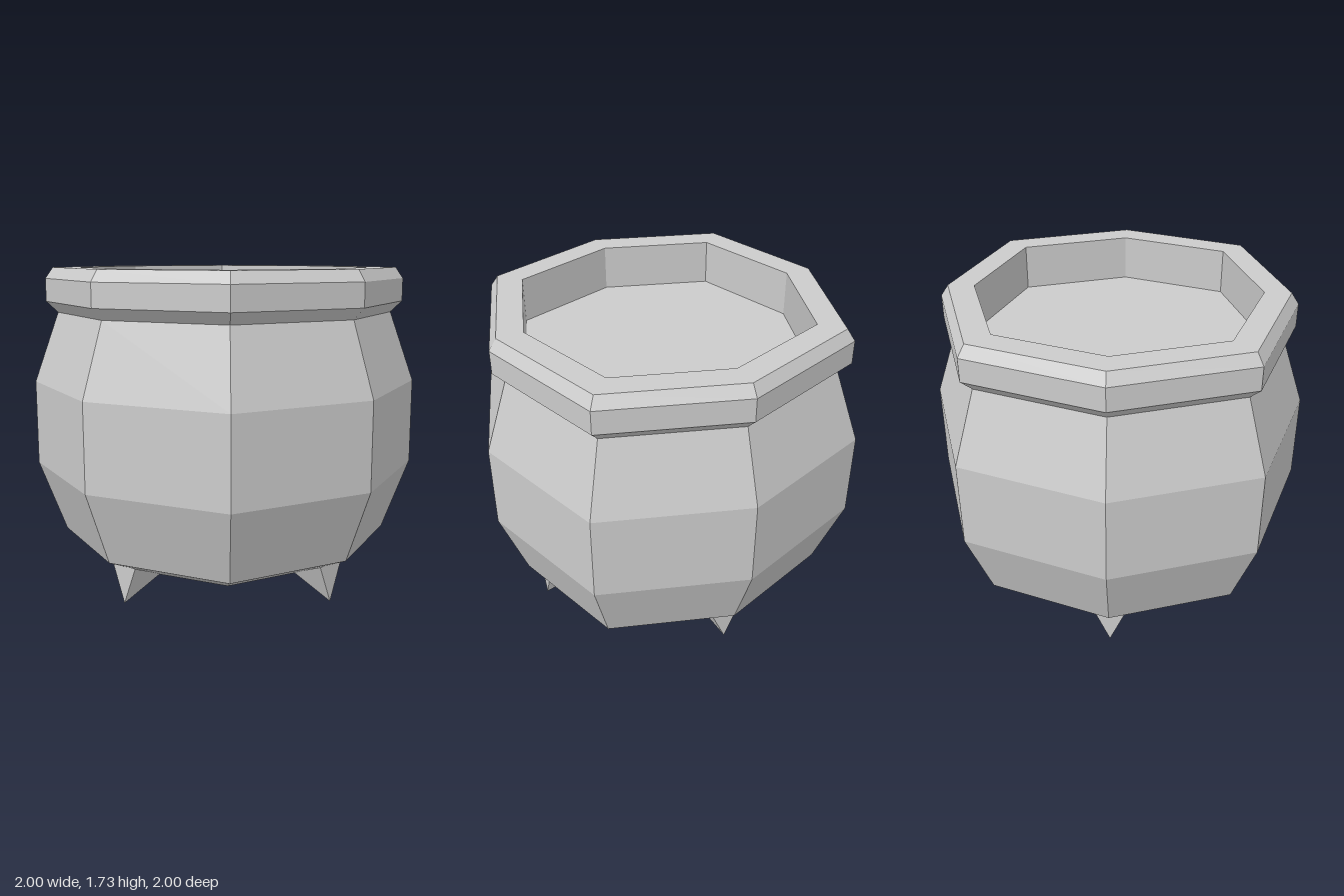
import * as THREE from 'three';
import { ConvexGeometry } from 'three/addons/geometries/ConvexGeometry.js';

const material = new THREE.MeshStandardMaterial({ color: 0xcccccc, flatShading: true });

// Eight-sided lathe whose diagonal corners sit at 0.75 of the radius in x and z
function octagonLathe(profile) {
  const geometry = new THREE.LatheGeometry(profile.map(([r, y]) => new THREE.Vector2(r, y)), 8);
  const pos = geometry.attributes.position;
  for (let i = 0; i < pos.count; i++) {
    const x = pos.getX(i), z = pos.getZ(i);
    const diagonal = Math.min(Math.abs(x), Math.abs(z)) > 1e-4;
    const s = diagonal ? 0.75 * Math.SQRT2 : 1;
    pos.setX(i, x * s);
    pos.setZ(i, z * s);
  }
  geometry.computeVertexNormals();
  return geometry;
}

function addMesh(parent, name, geometry) {
  const mesh = new THREE.Mesh(geometry, material);
  mesh.name = name;
  parent.add(mesh);
  return mesh;
}

export function createModel() {
  const cauldron = new THREE.Group();
  cauldron.name = 'cauldron';

  // Bulging bowl with a shallow pointed underside
  addMesh(cauldron, 'bowl', octagonLathe([
    [0, 0.02], [0.56, 0.11], [0.86, 0.245], [1, 0.635], [1, 1.1], [0.87, 1.485],
  ]));

  // Flared, bevelled rim with the inner wall
  addMesh(cauldron, 'rim', octagonLathe([
    [0.87, 1.485], [0.93, 1.545], [0.93, 1.67], [0.89, 1.73], [0.75, 1.73], [0.75, 1.485],
  ]));

  // Flat surface of the contents inside the rim
  addMesh(cauldron, 'contents', octagonLathe([[0.75, 1.485], [0, 1.485]]));

  // Four pointed feet, each with an upright outer face
  const footGeometry = new ConvexGeometry([
    new THREE.Vector3(0, 0, 0.765),
    new THREE.Vector3(-0.09, 0.21, 0.765), new THREE.Vector3(0.09, 0.21, 0.765),
    new THREE.Vector3(-0.09, 0.14, 0.59), new THREE.Vector3(0.09, 0.14, 0.59),
  ]);
  ['frontFoot', 'leftFoot', 'backFoot', 'rightFoot'].forEach((name, i) => {
    addMesh(cauldron, name, footGeometry).rotation.y = i * Math.PI / 2;
  });

  return cauldron;
}
